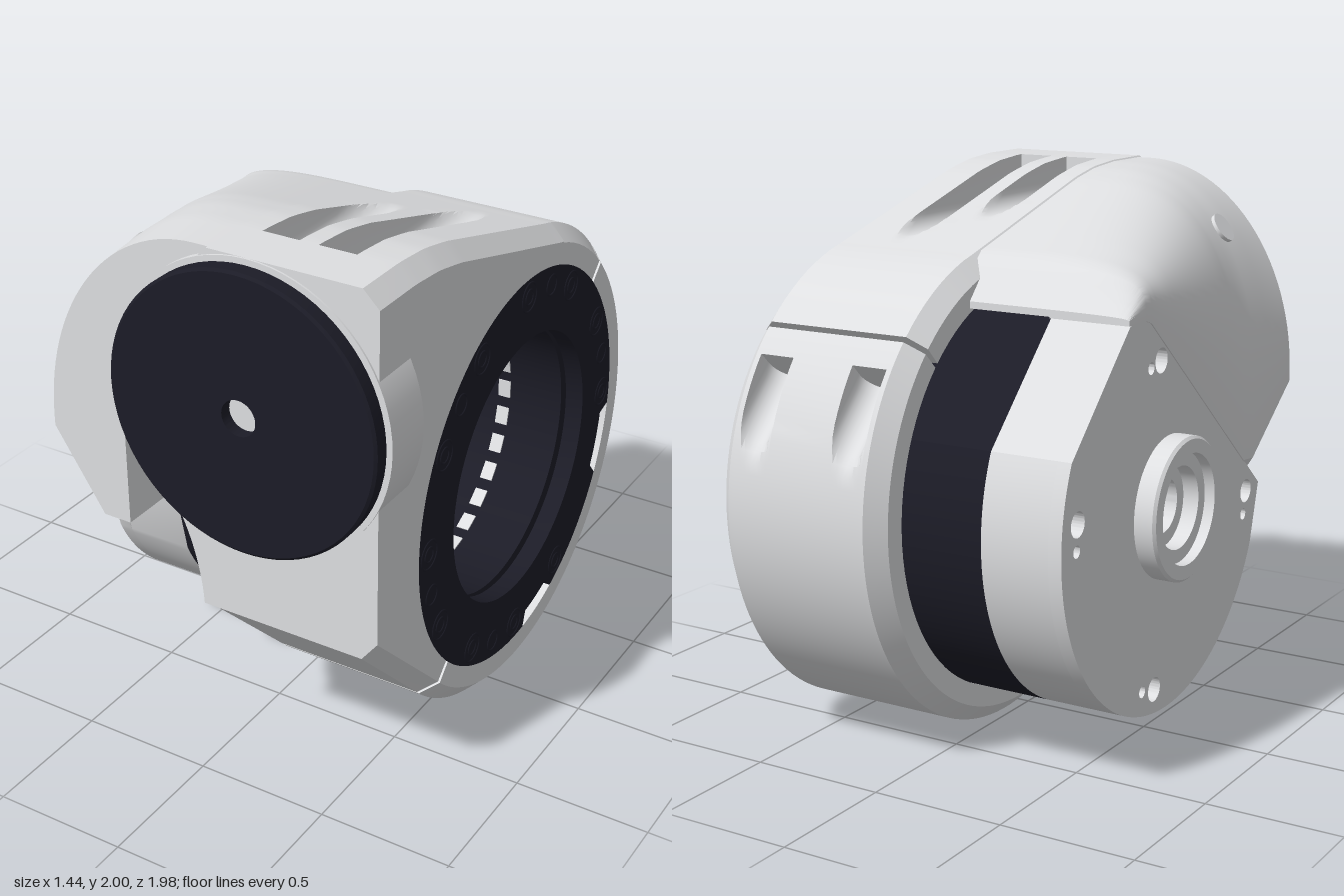
import * as THREE from 'three';
import { toCreasedNormals } from 'three/addons/utils/BufferGeometryUtils.js';

const shell = new THREE.MeshStandardMaterial({ name: 'light grey shell', color: 0xdedfe1 });
const dark = new THREE.MeshStandardMaterial({ name: 'dark navy', color: 0x1c1c27 });

const CY = 0.89, CZ = -0.1, R = 0.89, BORE = 0.75;   // main axis and radii
const rad = THREE.MathUtils.degToRad;
const clamp = THREE.MathUtils.clamp;

// Height of the main housing's top edge at depth z
const TOP = [[0.92, 2], [0.7, 2], [0.55, 1.988], [0.41, 1.96], [-0.36, 1.74]];
function topY(z) {
  for (let i = 1; i < TOP.length; i++) {
    const [z0, y0] = TOP[i - 1], [z1, y1] = TOP[i];
    if (z >= z1) return y0 + (y1 - y0) * (z - z0) / (z1 - z0);
  }
  return CY + Math.sqrt(R * R - (z - CZ) ** 2);
}

// Solid through equal-length loops; flat(p) gives 2D coordinates seen from the start end
function loft(loops, flat) {
  const area = THREE.ShapeUtils.area(loops[0].map(flat));
  if (area < 0) loops = loops.map(l => l.slice().reverse());
  const n = loops[0].length, pos = loops.flat().flatMap(p => p.toArray()), idx = [];
  for (let k = 0; k < loops.length - 1; k++)
    for (let i = 0; i < n; i++) {
      const j = (i + 1) % n, a = k * n, b = a + n;
      idx.push(a + i, b + i, a + j, a + j, b + i, b + j);
    }
  const last = (loops.length - 1) * n;
  for (const [a, b, c] of THREE.ShapeUtils.triangulateShape(loops[0].map(flat), [])) idx.push(a, b, c);
  for (const [a, b, c] of THREE.ShapeUtils.triangulateShape(loops[loops.length - 1].map(flat), []))
    idx.push(last + a, last + c, last + b);
  const g = new THREE.BufferGeometry();
  g.setAttribute('position', new THREE.Float32BufferAttribute(pos, 3));
  g.setIndex(idx);
  return toCreasedNormals(g, 0.5);
}
const alongX = p => new THREE.Vector2(p.z, p.y);
const alongZ = p => new THREE.Vector2(p.y, p.x);

function add(parent, name, geo, mat, x = 0, y = 0, z = 0) {
  const m = new THREE.Mesh(geo, mat);
  m.name = name;
  m.position.set(x, y, z);
  parent.add(m);
  return m;
}

// Closed turned part: pairs of radius, height
function turned(pts, seg = 72) {
  const p = pts.map(([r, h]) => new THREE.Vector2(r, h));
  p.push(p[0].clone());
  return toCreasedNormals(new THREE.LatheGeometry(p, seg), 0.5);
}

function plate(shape, depth) {
  return toCreasedNormals(new THREE.ExtrudeGeometry(shape, { depth, bevelEnabled: false, curveSegments: 48 }), 0.3);
}
const circle = (x, y, r) => new THREE.Path().absarc(x, y, r, 0, Math.PI * 2, true);

// Ring shape whose outer radius follows a rule in degrees; null leaves a straight flat
function ringShape(radiusAt, hole) {
  const pts = [];
  for (let deg = 0; deg < 360; deg += 2) {
    const r = radiusAt(deg);
    if (r) pts.push(new THREE.Vector2(r * Math.cos(rad(deg)), r * Math.sin(rad(deg))));
  }
  const s = new THREE.Shape(pts);
  s.holes.push(circle(0, 0, hole));
  return s;
}
const flats = (r, list) => deg => list.some(([a, b]) => deg > a && deg < b) ? null : r;

// Stations along x: chamfered ends, and finely divided round cuts of radius 0.07
function stations(cuts) {
  const s = [{ x: -0.02, d: 0.06 }, { x: 0.04, d: 0 }];
  for (const c of cuts) {
    s.push({ x: c.x - 0.07, d: 0 });
    for (let i = 0; i <= 12; i++) {
      const dx = -0.07 * Math.cos(Math.PI * i / 12);
      s.push({ x: c.x + dx, d: 0, cut: c, h: Math.sqrt(Math.max(0, 0.0049 - dx * dx)) });
    }
    s.push({ x: c.x + 0.07, d: 0 });
  }
  s.push({ x: 0.61, d: 0 }, { x: 0.67, d: 0.06 });
  return s;
}

// Upper housing with two grooves running out of the sloped top
function upperHousing() {
  const arc = (l, x, r, a0, a1, n) => {
    for (let i = 0; i <= n; i++) {
      const a = rad(a0 + (a1 - a0) * i / n);
      l.push(new THREE.Vector3(x, CY + r * Math.sin(a), CZ + r * Math.cos(a)));
    }
  };
  return loft(stations([{ x: 0.19, end: 0 }, { x: 0.4, end: -0.22 }]).map(({ x, d, cut, h }) => {
    const l = [];
    arc(l, x, R - d, -44.3, -44.3, 1);
    l.pop();
    l.push(new THREE.Vector3(x, 0.65 + 1.3 * d, 0.92), new THREE.Vector3(x, 2 - d, 0.92), new THREE.Vector3(x, 2 - d, 0.72));
    for (let i = 0; i <= 27; i++) {
      const z = 0.72 - i * 0.04, y = topY(z);
      l.push(new THREE.Vector3(x, cut ? Math.min(y, topY(cut.end) + 0.07 - h) : y - d, z));
    }
    arc(l, x, R - d, 108, 134.3, 8);
    arc(l, x, BORE, 134.3, -44.3, 48);
    return l;
  }), alongX);
}

// Lower clamp half with screw pockets beside both joints
function clampHalf() {
  const floor = Math.asin(0.12 / R), angles = [];
  for (let i = 0; i <= 6; i++) angles.push([rad(0.7) + (floor - rad(0.7)) * i / 6, false]);
  for (let i = 0; i <= 60; i++) angles.push([floor + (Math.PI - 2 * floor) * i / 60, true]);
  for (let i = 6; i >= 0; i--) angles.push([Math.PI - rad(0.7) - (floor - rad(0.7)) * i / 6, false]);
  const at = (x, s, n) => new THREE.Vector3(x, CY + (s - n) * Math.SQRT1_2, CZ - (s + n) * Math.SQRT1_2);
  return loft(stations([{ x: 0.13 }, { x: 0.52 }]).map(({ x, d, cut, h }) => {
    const l = angles.map(([a, inPocket]) => {
      let s = (R - d) * Math.cos(a);
      if (cut && inPocket) s = clamp(s, h - 0.83, 0.83 - h);
      return at(x, s, (R - d) * Math.sin(a));
    });
    for (let i = 0; i <= 48; i++) {
      const a = rad(179.3 - 178.6 * i / 48);
      l.push(at(x, BORE * Math.cos(a), BORE * Math.sin(a)));
    }
    return l;
  }), alongX);
}

// Smooth hood joining the front joint to the side drum, sloping down at its back edge
function hood() {
  const loops = [];
  for (let k = 0; k <= 33; k++) {
    const z = -0.42 + k * 0.04;
    const top = Math.min(topY(z) - 0.005, 1.61 + (z + 0.42) * 1.1);
    const low = clamp(0.86 + (0.58 - z) * 0.84, 0.86, 1.58);
    const c = Math.max(0, 1 - (0.9 - z) / 0.4), shelf = Math.max(1.45, low + 0.005);
    const shoulder = low + 0.015 + 0.32 * c, power = 2 / (2 + 1.7 * Math.min(1, 0.9 - z));
    const pts = [[0.05, shelf], [-0.34, shelf], [-0.34, low], [-0.645 + 0.195 * c, low], [-0.645, low + 0.3 * c + 0.001]];
    for (let i = 0; i <= 28; i++) {
      const a = Math.PI / 2 * i / 28;
      const u = i === 28 ? 0 : Math.cos(a) ** power;
      pts.push([-0.02 - 0.625 * u, shoulder + (top - shoulder) * Math.sin(a) ** power]);
    }
    pts.push([0.05, top]);
    loops.push(pts.map(([x, y]) => new THREE.Vector3(x, y, z)));
  }
  return loft(loops, alongZ);
}

export function createModel() {
  const g = new THREE.Group();
  g.name = 'jointHousing';
  add(g, 'upperHousing', upperHousing(), shell);
  add(g, 'clampHalf', clampHalf(), shell);
  add(g, 'hood', hood(), shell);

  // Hood screw seat
  const seat = add(g, 'hoodScrewSeat', new THREE.CylinderGeometry(0.058, 0.058, 0.02, 24), shell, -0.47, 1.776, 0.63);
  seat.quaternion.setFromUnitVectors(new THREE.Vector3(0, 1, 0), new THREE.Vector3(-0.82, 0.58, 0.05).normalize());

  // Front joint: collar, web and dark disc
  const joint = new THREE.Group();
  joint.name = 'frontJoint';
  joint.position.set(0.193, 1.47, 0);
  joint.rotation.x = Math.PI / 2;
  g.add(joint);
  add(joint, 'collar', new THREE.CylinderGeometry(0.53, 0.53, 0.195, 72), shell, 0, 0.8295, 0);
  add(joint, 'disc', turned([[0.065, 0.93], [0.51, 0.93], [0.51, 0.982], [0.5, 0.99], [0.065, 0.99]]), dark);
  add(joint, 'discCentre', new THREE.CylinderGeometry(0.066, 0.066, 0.02, 32), shell, 0, 0.935, 0);
  const web = new THREE.Shape();
  web.moveTo(0.05, 0.65);
  web.lineTo(0.05, 1.4);
  web.lineTo(-0.3, 1.26);
  web.quadraticCurveTo(-0.04, 1.0, -0.02, 0.65);
  add(g, 'web', plate(web, 0.19), shell, 0, 0, 0.73);

  // Hub turned about the main axis
  const drum = new THREE.Group();
  drum.name = 'drum';
  drum.position.set(0, CY, CZ);
  drum.rotation.z = -Math.PI / 2;
  g.add(drum);
  add(drum, 'hub', turned([[0.1, -0.62], [0.15, -0.62], [0.15, -0.68], [0.2, -0.68], [0.2, -0.72], [0.25, -0.72],
    [0.26, -0.71], [0.26, -0.336], [0.22, -0.336], [0.22, -0.3], [0.19, -0.3],
    [0.19, -0.33], [0.15, -0.33], [0.15, -0.34], [0.1, -0.34]]), shell);
  add(drum, 'ringSeat', turned([[0.66, 0.56], [0.75, 0.56], [0.75, 0.598], [0.66, 0.598]], 96), shell);
  // Light dashes inside the bore
  for (const x of [0.1, 0.34])
    for (let i = 0; i < 28; i++) {
      const a = i / 28 * Math.PI * 2;
      add(drum, 'boreMark', new THREE.BoxGeometry(0.008, 0.05, 0.07), shell, 0.508 * Math.cos(a), x, 0.508 * Math.sin(a)).rotation.y = -a;
    }

  // Drum body, sliced along x: dark sleeve, light cap and end face with paired screw holes
  const facing = (name, x) => {
    const f = new THREE.Group();
    f.name = name;
    f.position.set(x, CY, CZ);
    f.rotation.y = Math.PI / 2;
    g.add(f);
    return f;
  };
  const body = flats(0.749, [[24, 66], [180, 204]]);
  add(facing('sleeve', -0.335), 'sleeveBody', plate(ringShape(body, 0.51), 0.915), dark);
  add(facing('endCap', -0.59), 'endCapBody', plate(ringShape(body, 0.25), 0.255), shell);
  const face = ringShape(flats(0.749, [[24, 66], [74, 186], [186, 204]]), 0.25);
  for (const [a, da, r] of [[98, 8, 0.54], [-8, -8, 0.64], [172, 8, 0.65], [262, -8, 0.66]])
    for (const [t, s] of [[rad(a), 0.045], [rad(a + da), 0.022]])
      face.holes.push(circle(-r * Math.cos(t), r * Math.sin(t), s));
  add(facing('endPlate', -0.64), 'endFace', plate(face, 0.05), shell);

  // Notched bolt ring
  const flange = facing('boltRing', 0.6);
  const notched = deg => (deg > 333 && deg < 353) || (deg > 277 && deg < 294) ? 0.69 : 0.75;
  add(flange, 'ringPlate', plate(ringShape(notched, 0.51), 0.07), dark);
  const rim = (name, a, r, tube) =>
    add(flange, name, new THREE.TorusGeometry(r, tube, 6, 28), dark, 0.68 * Math.cos(a), 0.68 * Math.sin(a), 0.068);
  for (let i = 0; i < 12; i++) {
    const a = rad(i * 30);
    if (i !== 11) {
      rim('boltRim', a, 0.054, 0.005);
      rim('boltHead', a, 0.028, 0.005);
    }
    if ([0, 2, 4, 6, 8].includes(i)) rim('pinHole', a + rad(15), 0.038, 0.005);
  }
  return g;
}
